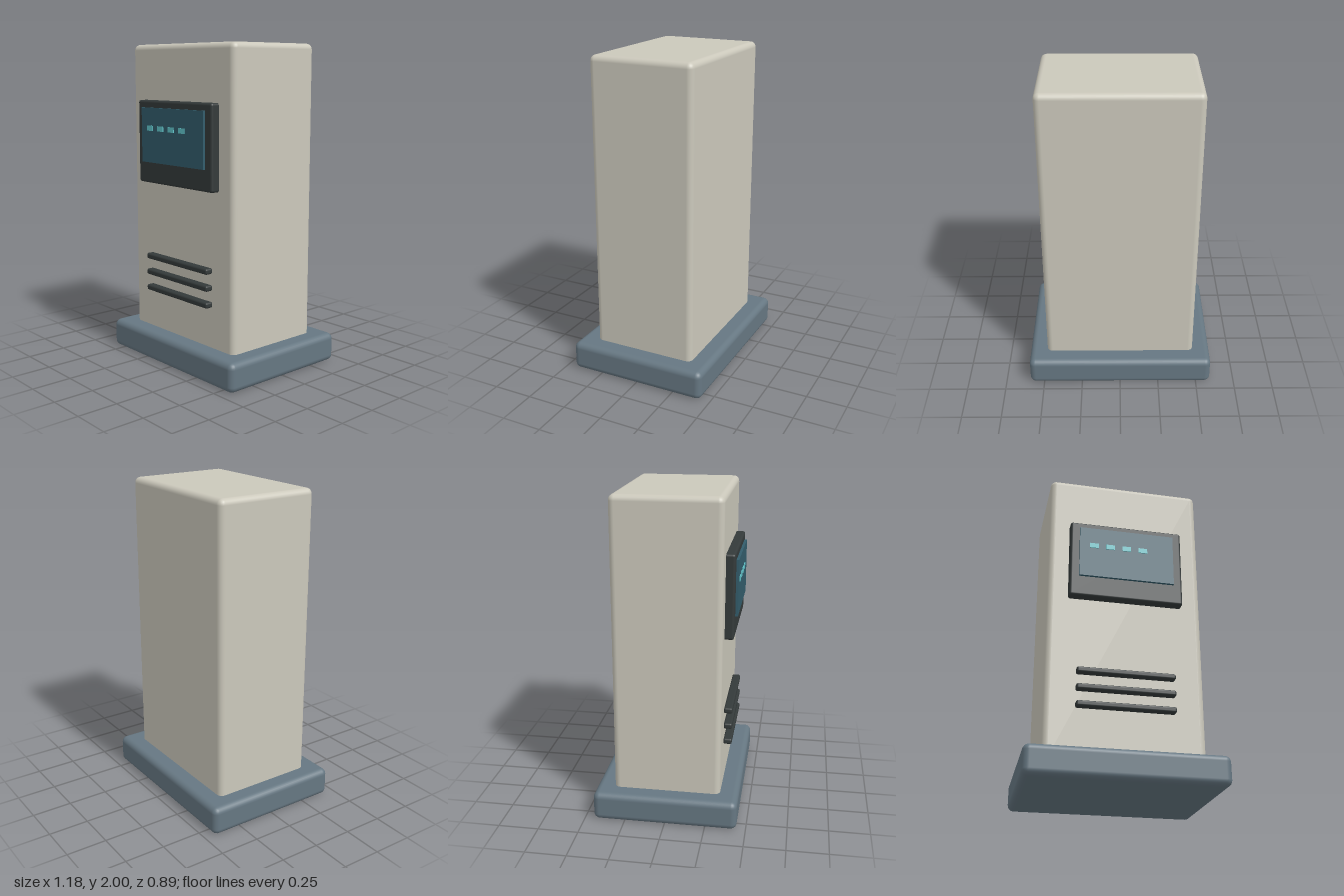
import * as THREE from 'three';
import { RoundedBoxGeometry } from 'three/addons/geometries/RoundedBoxGeometry.js';

const material = (name, color) => {
  const m = new THREE.MeshStandardMaterial({ color });
  m.name = name;
  return m;
};

export function createModel() {
  const model = new THREE.Group();
  model.name = 'kiosk';

  const beige = material('warm beige', 0xcbc8bb);
  const slate = material('slate blue', 0x667782);
  const charcoal = material('charcoal', 0x343a3a);
  const glass = material('dark teal', 0x335d6c);
  const cyan = material('bright cyan', 0x62c6cc);

  // Box given by its extents; a radius rounds the edges
  const box = (name, mat, [x0, x1], [y0, y1], [z0, z1], radius = 0) => {
    const size = [x1 - x0, y1 - y0, z1 - z0];
    const geometry = radius
      ? new RoundedBoxGeometry(...size, 3, radius)
      : new THREE.BoxGeometry(...size);
    const mesh = new THREE.Mesh(geometry, mat);
    mesh.name = name;
    mesh.position.set((x0 + x1) / 2, (y0 + y1) / 2, (z0 + z1) / 2);
    model.add(mesh);
  };

  // Plinth and cabinet
  box('base', slate, [-0.592, 0.592], [0, 0.18], [-0.445, 0.445], 0.038);
  box('cabinet', beige, [-0.48, 0.48], [0.1, 2], [-0.33, 0.33], 0.036);

  // Display: surround, glass and a row of lit segments
  box('screenBezel', charcoal, [-0.354, 0.354], [1.139, 1.656], [0.312, 0.385], 0.015);
  box('screen', glass, [-0.297, 0.297], [1.272, 1.612], [0.384, 0.401]);
  for (let i = 0; i < 4; i++) {
    const x = -0.208 + i * 0.103;
    box(`screenDash${i + 1}`, cyan, [x - 0.028, x + 0.028], [1.47, 1.502], [0.4, 0.406]);
  }

  // Vent bars
  for (let i = 0; i < 3; i++) {
    const y = 0.451 + i * 0.104;
    box(`ventBar${i + 1}`, charcoal, [-0.297, 0.297], [y - 0.018, y + 0.018], [0.328, 0.381], 0.012);
  }

  return model;
}
